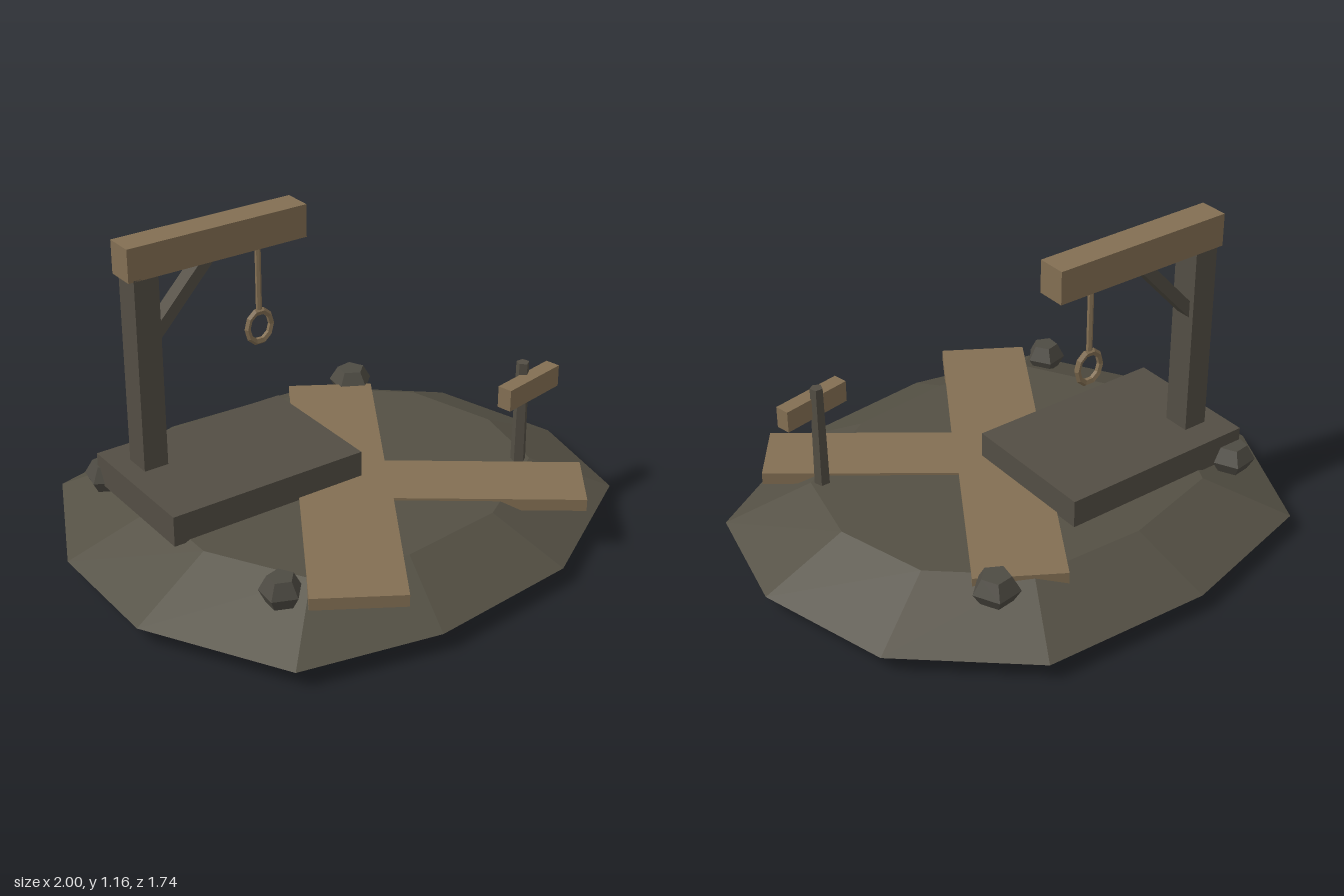
import * as THREE from 'three';

const mat = (name, color) => {
  const m = new THREE.MeshStandardMaterial({ color, flatShading: true });
  m.name = name;
  return m;
};

export function createModel() {
  const model = new THREE.Group();
  const earth = mat('earth', 0x545044);
  const darkWood = mat('darkWood', 0x534e44);
  const paleWood = mat('paleWood', 0x836f53);
  const stone = mat('stone', 0x4e4b43);

  const add = (name, geometry, material, x = 0, y = 0, z = 0) => {
    const mesh = new THREE.Mesh(geometry, material);
    mesh.name = name;
    mesh.position.set(x, y, z);
    model.add(mesh);
    return mesh;
  };
  // box given by its minimum and maximum corners
  const block = (name, material, x0, x1, y0, y1, z0, z1) =>
    add(name, new THREE.BoxGeometry(x1 - x0, y1 - y0, z1 - z0), material,
      (x0 + x1) / 2, (y0 + y1) / 2, (z0 + z1) / 2);

  // Mound: one irregular outline, scaled at three heights
  const rim = [[1, 0.02], [0.9, 0.48], [0.38, 0.8], [-0.2, 0.865], [-0.71, 0.76], [-1, 0.26],
    [-1, -0.23], [-0.77, -0.72], [-0.2, -0.87], [0.44, -0.84], [0.86, -0.48]];
  const rings = [[0, 0.82], [0.065, 1], [0.208, 0.69]].map(([y, s]) =>
    rim.map(([x, z]) => [x * s, y, z * s]));
  const pos = [];
  const tri = (...corners) => corners.forEach((c) => pos.push(...c));
  for (let i = 0; i < rim.length; i++) {
    const j = (i + 1) % rim.length;
    for (let k = 0; k < 2; k++) {
      const low = rings[k], high = rings[k + 1];
      tri(low[i], high[i], low[j]);
      tri(high[i], high[j], low[j]);
    }
    tri([0, 0, 0], rings[0][i], rings[0][j]);
    tri([0, 0.208, 0], rings[2][j], rings[2][i]);
  }
  const moundGeo = new THREE.BufferGeometry();
  moundGeo.setAttribute('position', new THREE.Float32BufferAttribute(pos, 3));
  moundGeo.computeVertexNormals();
  add('mound', moundGeo, earth);

  // Forked path: a long strip and a side branch as one slab
  const path = new THREE.Shape([[-0.57, 0.63], [-0.29, 0.8], [0.03, 0.285], [0.58, 0.69],
    [0.74, 0.475], [0.165, 0.05], [0.49, -0.48], [0.21, -0.65]]
    .map(([x, z]) => new THREE.Vector2(x, -z)));
  const pathGeo = new THREE.ExtrudeGeometry(path, { depth: 0.045, bevelEnabled: false });
  pathGeo.rotateX(-Math.PI / 2);
  add('path', pathGeo, paleWood, 0, 0.172, 0);

  // Platform and timber frame
  block('platform', darkWood, -0.75, 0.03, 0.2, 0.315, -0.45, 0.09);
  block('upright', darkWood, -0.675, -0.58, 0.3, 1.045, -0.34, -0.235);
  block('crossBeam', paleWood, -0.695, 0.022, 1.04, 1.163, -0.345, -0.235);
  const brace = new THREE.Shape([[-0.59, 0.77], [-0.335, 1.045], [-0.395, 1.045], [-0.59, 0.835]]
    .map(([x, y]) => new THREE.Vector2(x, y)));
  add('brace', new THREE.ExtrudeGeometry(brace, { depth: 0.06, bevelEnabled: false }),
    darkWood, 0, 0, -0.32);

  // Hanging rope and loop
  add('rope', new THREE.CylinderGeometry(0.011, 0.011, 0.26, 6), paleWood, -0.15, 0.915, -0.29);
  const loop = add('ropeLoop', new THREE.TorusGeometry(0.051, 0.012, 5, 10), paleWood,
    -0.15, 0.717, -0.29);
  loop.scale.y = 1.18;

  // Signpost
  add('signPost', new THREE.CylinderGeometry(0.024, 0.029, 0.42, 5), darkWood, 0.583, 0.397, 0.312);
  const board = add('signBoard', new THREE.BoxGeometry(0.28, 0.082, 0.056), paleWood,
    0.585, 0.524, 0.346);
  board.rotation.y = 0.2;

  // Five-sided boulders
  const profile = [[0, -0.045], [0.055, -0.045], [0.08, 0], [0.05, 0.055], [0, 0.055]]
    .map(([r, y]) => new THREE.Vector2(r, y));
  const rockGeo = new THREE.LatheGeometry(profile, 5);
  [[0.45, -0.56, 1.08, 1.4], [-0.61, 0.53, 0.95, 1.5], [-0.71, -0.46, 1.05, 1.4]]
    .forEach(([x, z, s, turn]) => {
      const rock = add('boulder', rockGeo, stone, x, 0.21, z);
      rock.scale.set(s, 1, s);
      rock.rotation.y = turn;
    });

  return model;
}
